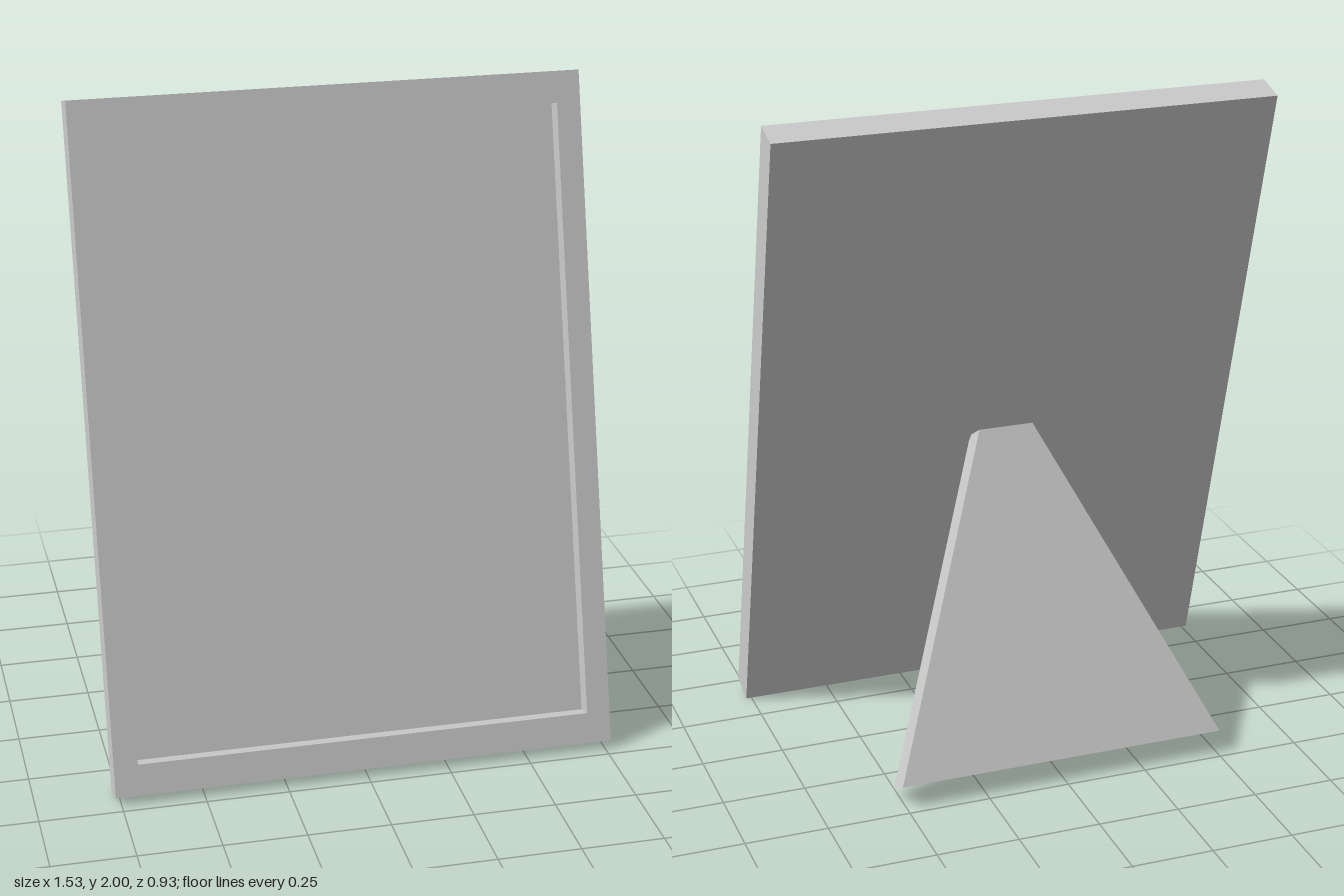
import * as THREE from 'three';

const WIDTH = 1.534, HEIGHT = 2.048, RIM = 0.055, BACK = 0.045;
const BORDER_X = 0.072, BORDER_Y = 0.094;
const STAND_LENGTH = 1.021, STAND_DEPTH = 0.1;

const material = new THREE.MeshStandardMaterial({ color: 0xcccccc, flatShading: true });

function polygon(points) {
  return points.map(([x, y]) => new THREE.Vector2(x, y));
}

// Flat plate from z to z + depth
function plate(name, shape, depth, z) {
  const geometry = new THREE.ExtrudeGeometry(shape, { depth, bevelEnabled: false });
  geometry.translate(0, 0, z);
  const mesh = new THREE.Mesh(geometry, material);
  mesh.name = name;
  return mesh;
}

function rectangle(halfWidth, bottom, top) {
  return polygon([[-halfWidth, bottom], [halfWidth, bottom], [halfWidth, top], [-halfWidth, top]]);
}

export function createModel() {
  const model = new THREE.Group();
  model.name = 'pictureFrame';

  // Leaning frame: raised rim around a recessed panel, pivoting on its lower back edge
  const frame = new THREE.Group();
  frame.name = 'frame';
  const outline = rectangle(WIDTH / 2, 0, HEIGHT);
  const rimShape = new THREE.Shape(outline);
  rimShape.holes.push(new THREE.Path(rectangle(WIDTH / 2 - BORDER_X, BORDER_Y, HEIGHT - BORDER_Y)));
  frame.add(
    plate('rim', rimShape, RIM, BACK),
    plate('backPanel', new THREE.Shape(outline), BACK, 0)
  );
  frame.position.set(0, 0, 0.37);
  frame.rotation.x = THREE.MathUtils.degToRad(-15.5);
  model.add(frame);

  // Tapered easel leg, wide at the foot
  const legShape = new THREE.Shape(polygon([
    [-0.51, 0], [0.51, 0], [0.086, STAND_LENGTH], [-0.086, STAND_LENGTH]
  ]));
  const leg = plate('easelLeg', legShape, STAND_DEPTH, -STAND_DEPTH);
  leg.position.set(0, 0.02, -0.38);
  leg.rotation.x = THREE.MathUtils.degToRad(30);
  model.add(leg);

  return model;
}
